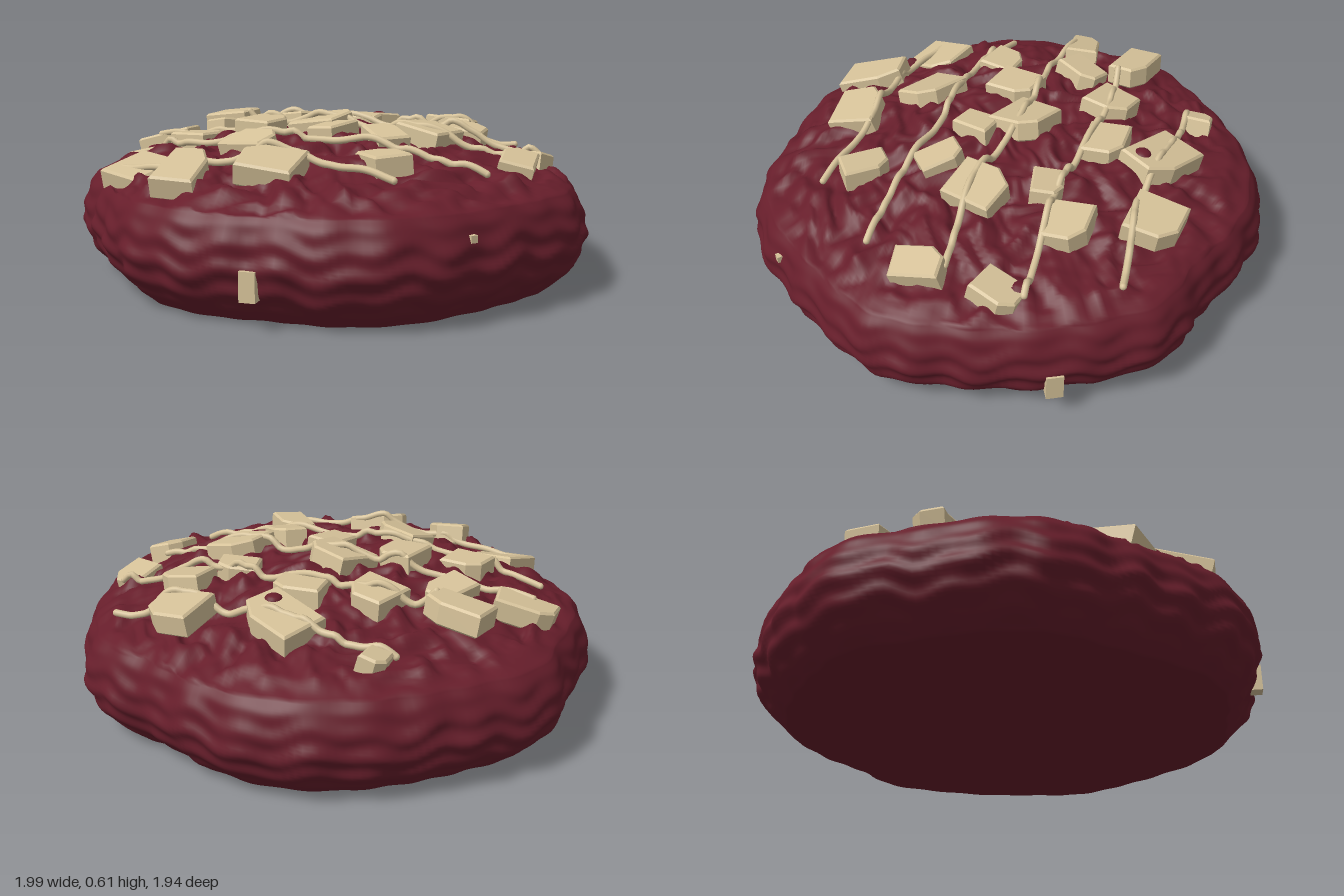
import * as THREE from 'three';
import { mergeVertices } from 'three/addons/utils/BufferGeometryUtils.js';

// Outline radius every 15 degrees, from +x towards +z
const OUTLINE = [0.995, 0.965, 0.96, 0.985, 0.975, 0.935, 0.955, 0.96, 0.925, 0.925, 0.98, 0.985,
  0.975, 1.02, 0.985, 0.975, 0.985, 0.985, 0.955, 0.925, 0.985, 0.96, 0.95, 0.955];
// Side profile: share of the outline radius, height
const SIDE = [[0.86, 0], [0.93, 0.06], [0.975, 0.12], [1, 0.2], [0.99, 0.27], [0.97, 0.33], [0.94, 0.37]];
// Dome profile from rim to middle
const DOME = [[0.94, 0.37], [0.86, 0.403], [0.75, 0.433], [0.6, 0.47], [0.45, 0.5], [0.25, 0.522], [0, 0.53]];

// Chunks on top: x, z, width, depth, turn in degrees, height above the dome
const CHUNKS = [
  [-0.49, -0.6, 0.09, 0.11, 5, 0], [-0.12, -0.57, 0.26, 0.2, -18, 0.016], [0.23, -0.68, 0.2, 0.19, 5, 0.06],
  [-0.08, -0.37, 0.2, 0.17, 10, 0.01], [0.38, -0.42, 0.19, 0.16, 8, 0.016], [-0.64, -0.27, 0.22, 0.15, -3, 0.065],
  [-0.33, -0.28, 0.18, 0.18, -10, 0.016], [0.24, -0.28, 0.16, 0.12, 20, 0], [0.71, -0.32, 0.14, 0.17, -8, -0.005],
  [-0.52, -0.08, 0.14, 0.18, -20, 0.01], [-0.78, 0.02, 0.23, 0.13, 14, 0.02], [-0.05, -0.05, 0.22, 0.2, -12, 0.016],
  [0.37, -0.07, 0.19, 0.2, -5, 0.016], [0.74, -0.04, 0.13, 0.2, 12, 0.005], [-0.25, 0.09, 0.17, 0.19, -5, 0.016],
  [0.06, 0.1, 0.12, 0.16, -8, 0.005], [0.29, 0.13, 0.19, 0.14, -40, 0.01], [-0.46, 0.25, 0.16, 0.15, -6, 0],
  [-0.11, 0.4, 0.24, 0.16, -15, 0.005], [0.41, 0.39, 0.19, 0.14, -40, 0.005], [-0.48, 0.58, 0.21, 0.22, -10, -0.015],
  [-0.18, 0.72, 0.16, 0.25, 14, 0.02], [0.1, 0.61, 0.22, 0.19, 12, 0.02]];

// Drizzle paths as x, z points
const DRIZZLES = [
  [[-0.54, -0.54], [-0.3, -0.58], [0, -0.58], [0.2, -0.6], [0.35, -0.64], [0.51, -0.68]],
  [[-0.54, -0.23], [-0.3, -0.29], [0, -0.31], [0.3, -0.33], [0.5, -0.37], [0.7, -0.41]],
  [[-0.79, 0.07], [-0.5, 0.06], [-0.25, 0], [0, -0.04], [0.35, -0.04], [0.71, -0.12]],
  [[-0.73, 0.34], [-0.4, 0.34], [-0.1, 0.29], [0.1, 0.25], [0.4, 0.23], [0.71, 0.19]],
  [[-0.54, 0.61], [-0.3, 0.62], [-0.1, 0.59], [0.15, 0.52], [0.51, 0.51]]];

function outline(angle) {
  const n = OUTLINE.length;
  const t = ((angle / (2 * Math.PI)) % 1 + 1) % 1 * n;
  const i = Math.floor(t), f = t - i;
  const [a, b, c, d] = [-1, 0, 1, 2].map((k) => OUTLINE[(i + k + n) % n]);
  const r = b + 0.5 * f * (c - a + f * (2 * a - 5 * b + 4 * c - d + f * (3 * (b - c) + d - a)));
  return r + 0.005 * Math.sin(angle * 31 + Math.sin(angle * 5));
}

// Smooth dome height at a point
function domeHeight(x, z) {
  const s = Math.hypot(x, z) / outline(Math.atan2(z, x));
  for (let i = 1; i < DOME.length; i++) {
    const [s0, y0] = DOME[i - 1], [s1, y1] = DOME[i];
    if (s >= s1) return y0 + (y1 - y0) * (Math.min(s, s0) - s0) / (s1 - s0);
  }
  return DOME[DOME.length - 1][1];
}

// Wrinkled height of the baked top
function topHeight(x, z) {
  const fade = 1 - THREE.MathUtils.smoothstep(Math.hypot(x, z), 0.82, 0.94);
  const u = x + 0.05 * Math.sin(z * 13 + 1) + 0.02 * Math.sin(z * 31);
  const v = z + 0.05 * Math.sin(x * 11) + 0.02 * Math.sin(x * 37 + 2);
  const bumps = 0.018 * Math.sin(u * 17 + v * 6) * Math.sin(v * 19 - u * 4 + 1)
    + 0.012 * Math.sin(u * 33 - v * 9) * Math.sin(v * 29 + u * 7)
    + 0.01 * Math.sin(v * 41 + u * 13 + 2) * Math.sin(u * 37 - v * 11)
    + 0.006 * Math.sin(u * 71 + v * 13) * Math.sin(v * 67);
  return domeHeight(x, z) + bumps * fade;
}

// Lathe bent to the uneven outline
function doughGeometry(points) {
  let g = new THREE.LatheGeometry(points, 240);
  g.deleteAttribute('uv');
  g.deleteAttribute('normal');
  const p = g.attributes.position;
  for (let i = 0; i < p.count; i++) {
    const s = Math.hypot(p.getX(i), p.getZ(i)), y = p.getY(i);
    const a = Math.atan2(p.getZ(i), p.getX(i));
    const band = Math.sin(Math.PI * Math.min(1, y / 0.37));
    const ripple = band * (0.006 * Math.sin(y * 75 + 1.2 * Math.sin(a * 13) + Math.sin(a * 29))
      + 0.005 * Math.sin(a * 23 + y * 20));
    const r = s * outline(a) + ripple;
    const x = r * Math.cos(a), z = r * Math.sin(a);
    p.setXYZ(i, x, y > 0.369 ? topHeight(x, z) : y, z);
  }
  g = mergeVertices(g, 1e-5);
  g.computeVertexNormals();
  return g;
}

// Broken slab with one clipped corner and uneven edges
function chunkGeometry(w, d, h, rand) {
  const j = () => 0.86 + 0.2 * rand();
  const corners = [[-0.5, -0.5], [0.5, -0.5], [0.5, 0.2], [0.2, 0.5], [-0.5, 0.5]];
  const flip = rand() < 0.5 ? -1 : 1;
  const shape = new THREE.Shape(corners.map(([x, y]) => new THREE.Vector2(x * w * j() * flip, y * d * j())));
  const g = new THREE.ExtrudeGeometry(shape, {
    depth: h - 0.016, bevelEnabled: true, bevelSize: 0.008, bevelThickness: 0.008, bevelOffset: -0.008, bevelSegments: 1 });
  return g.translate(0, 0, 0.008 - h / 2).rotateX(-Math.PI / 2);
}

export function createModel() {
  const model = new THREE.Group();
  const dough = new THREE.MeshStandardMaterial({ name: 'red dough', color: 0x671e2b });
  const cream = new THREE.MeshStandardMaterial({ name: 'cream chocolate', color: 0xd6c299 });
  const add = (name, geometry, material, parent = model) => {
    const mesh = new THREE.Mesh(geometry, material);
    mesh.name = name;
    parent.add(mesh);
    return mesh;
  };
  let seed = 7;
  const rand = () => (seed = (seed * 16807) % 2147483647) / 2147483647;

  // Cookie body, from the middle of the underside round to the top
  const side = new THREE.CatmullRomCurve3(SIDE.map(([s, y]) => new THREE.Vector3(s, y, 0))).getPoints(40);
  const profile = [0, 0.4, 0.75].map((s) => new THREE.Vector2(s, 0));
  profile.push(...side.map((v) => new THREE.Vector2(v.x, v.y)));
  for (let i = 1; i <= 80; i++) profile.push(new THREE.Vector2(0.94 * (1 - i / 80), 0.4));
  add('cookieBody', doughGeometry(profile), dough);

  // Chocolate chunks sunk into the dome, each tipped a little its own way
  const chunks = new THREE.Group();
  chunks.name = 'chunks';
  model.add(chunks);
  const up = new THREE.Vector3(0, 1, 0);
  for (const [x, z, w, d, turn, rise] of CHUNKS) {
    const e = 0.1, follow = 0.55;
    const normal = new THREE.Vector3(follow * (domeHeight(x - e, z) - domeHeight(x + e, z)), 2 * e,
      follow * (domeHeight(x, z - e) - domeHeight(x, z + e)));
    normal.x += (rand() - 0.5) * 0.07;
    normal.z += (rand() - 0.5) * 0.07;
    const chunk = add('chunk', chunkGeometry(w, d, 0.085, rand), cream, chunks);
    chunk.position.set(x, domeHeight(x, z) + rise, z);
    chunk.quaternion.setFromUnitVectors(up, normal.normalize())
      .multiply(new THREE.Quaternion().setFromAxisAngle(up, THREE.MathUtils.degToRad(turn)));
  }

  // Small chunks poking out of the side
  for (const [x, y, z, w, h] of [[0.2, 0.15, 0.895, 0.055, 0.1], [0.758, 0.15, -0.55, 0.06, 0.1], [0.775, 0.29, 0.513, 0.025, 0.025]]) {
    const piece = add('sideChunk', new THREE.BoxGeometry(w, h, 0.06), cream, chunks);
    piece.position.set(x, y, z);
    piece.rotation.y = Math.atan2(x, z);
  }

  // Dough crumb resting on a chunk
  const crumb = add('crumb', new THREE.SphereGeometry(0.034, 16, 10), dough);
  crumb.position.set(-0.06, domeHeight(-0.06, -0.52) + 0.055, -0.52);
  crumb.scale.y = 0.6;

  // Drizzle lines draped over the dough and chunks
  for (const path of DRIZZLES) {
    const flat = new THREE.CatmullRomCurve3(path.map(([x, z]) => new THREE.Vector3(x, 0, z)));
    const draped = flat.getSpacedPoints(36).map(({ x, z }) => {
      let lift = 0;
      for (const [cx, cz, w, , , rise] of CHUNKS) {
        const near = ((x - cx) ** 2 + (z - cz) ** 2) / (0.4 * w * w);
        lift = Math.max(lift, (0.028 + rise) * Math.exp(-near * near));
      }
      return new THREE.Vector3(x, Math.max(topHeight(x, z), domeHeight(x, z)) + 0.01 + lift, z);
    });
    const curve = new THREE.CatmullRomCurve3(draped);
    add('drizzle', new THREE.TubeGeometry(curve, 90, 0.013, 8), cream);
    for (const end of [draped[0], draped[draped.length - 1]]) {
      add('drizzleEnd', new THREE.SphereGeometry(0.013, 8, 6), cream).position.copy(end);
    }
  }
  return model;
}
